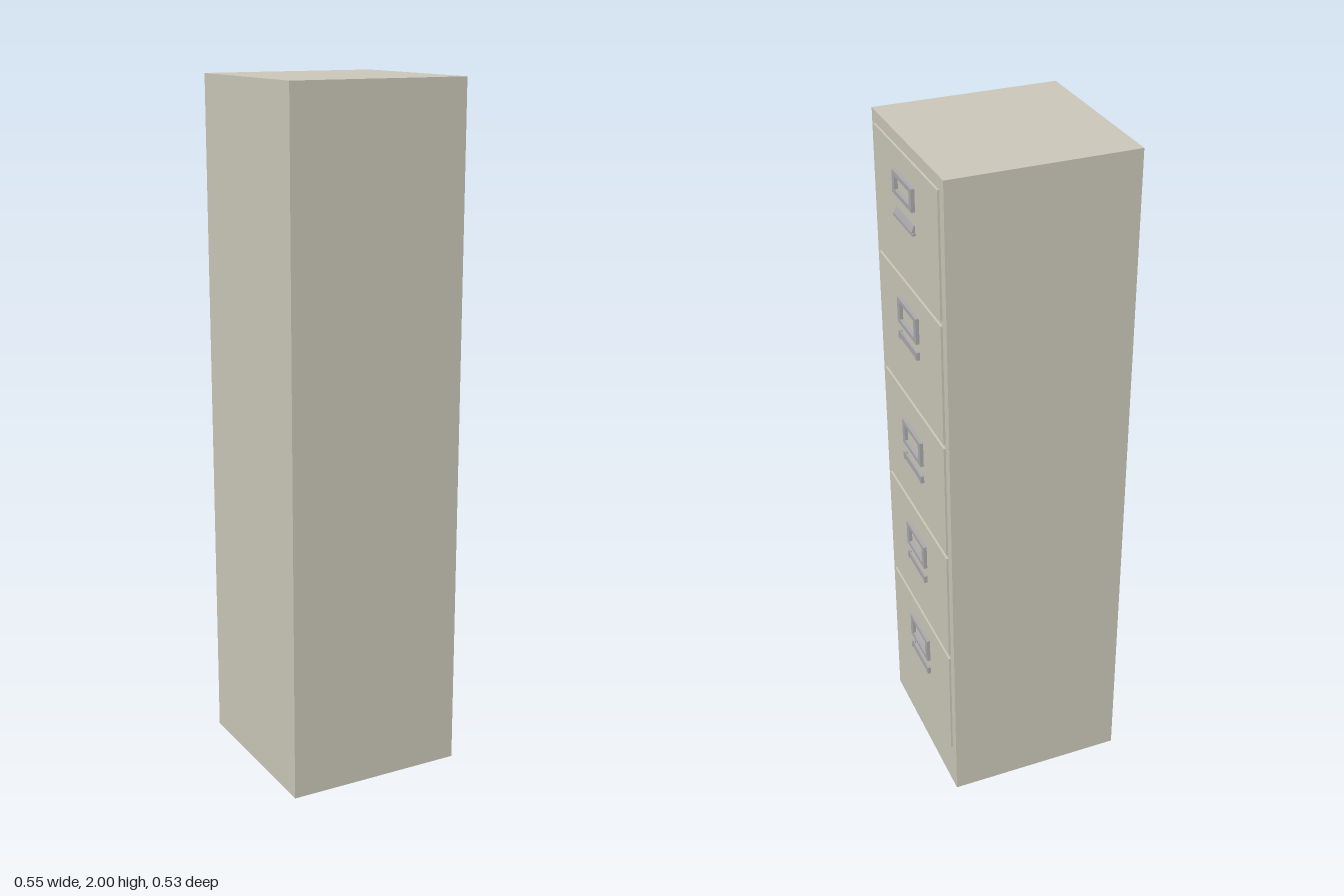
import * as THREE from 'three';

const paint = new THREE.MeshStandardMaterial({ color: 0xcac6b8 });
const metal = new THREE.MeshStandardMaterial({ color: 0xa9a9ad });

function addBox(parent, name, material, [w, h, d], [x, y, z]) {
  const mesh = new THREE.Mesh(new THREE.BoxGeometry(w, h, d), material);
  mesh.name = name;
  mesh.position.set(x, y, z);
  parent.add(mesh);
  return mesh;
}

// Rectangle outline centred on the origin
function rect(target, w, h) {
  target.moveTo(-w / 2, -h / 2);
  target.lineTo(w / 2, -h / 2);
  target.lineTo(w / 2, h / 2);
  target.lineTo(-w / 2, h / 2);
  target.closePath();
  return target;
}

// Open label frame standing out from a drawer front, facing +x
function labelFrame(height) {
  const shape = rect(new THREE.Shape(), 0.145, height);
  shape.holes.push(rect(new THREE.Path(), 0.11, height - 0.025));
  const geometry = new THREE.ExtrudeGeometry(shape, { depth: 0.011, bevelEnabled: false });
  geometry.rotateY(Math.PI / 2);
  const mesh = new THREE.Mesh(geometry, metal);
  mesh.name = 'labelFrame';
  return mesh;
}

// Pull bar with an end block at each side
function pullHandle() {
  const group = new THREE.Group();
  group.name = 'handle';
  addBox(group, 'handleBar', metal, [0.005, 0.02, 0.13], [0.006, 0, 0]);
  for (const side of [-1, 1]) {
    addBox(group, 'handleEnd', metal, [0.01, 0.023, 0.01], [0.005, 0, side * 0.067]);
  }
  return group;
}

// Sloping pull of the top drawer, wider at its lower lip
function slopedHandle() {
  const group = new THREE.Group();
  group.name = 'slopedHandle';
  const profile = new THREE.Shape();
  profile.moveTo(0, 0.013);
  profile.lineTo(0.003, 0.013);
  profile.lineTo(0.01, -0.005);
  profile.lineTo(0.01, -0.011);
  profile.lineTo(0, -0.011);
  const geometry = new THREE.ExtrudeGeometry(profile, { depth: 0.136, bevelEnabled: false });
  geometry.translate(0, 0, -0.068);
  const slope = new THREE.Mesh(geometry, metal);
  slope.name = 'handleSlope';
  group.add(slope);
  addBox(group, 'handleLip', metal, [0.01, 0.006, 0.145], [0.005, -0.01, 0]);
  return group;
}

export function createModel() {
  const model = new THREE.Group();
  model.name = 'filingCabinet';

  // Tall plain body
  addBox(model, 'body', paint, [0.529, 2, 0.528], [-0.0085, 1, 0]);

  // Five drawers on the +x side, listed from the top
  const faceX = 0.262;
  const frameY = [1.873, 1.503, 1.115, 0.757, 0.402];
  const handleY = [1.79, 1.428, 1.032, 0.678, 0.324];
  frameY.forEach((y, i) => {
    const drawer = new THREE.Group();
    drawer.name = 'drawer' + (i + 1);
    addBox(drawer, 'drawerFront', paint, [0.008, 0.352, 0.474], [0.258, 1.79 - i * 0.366, 0]);

    const frame = labelFrame(i === 0 ? 0.063 : 0.076);
    frame.position.set(faceX - 0.001, y, 0);
    const handle = i === 0 ? slopedHandle() : pullHandle();
    handle.position.set(faceX, handleY[i], 0);
    drawer.add(frame, handle);
    model.add(drawer);
  });

  return model;
}
